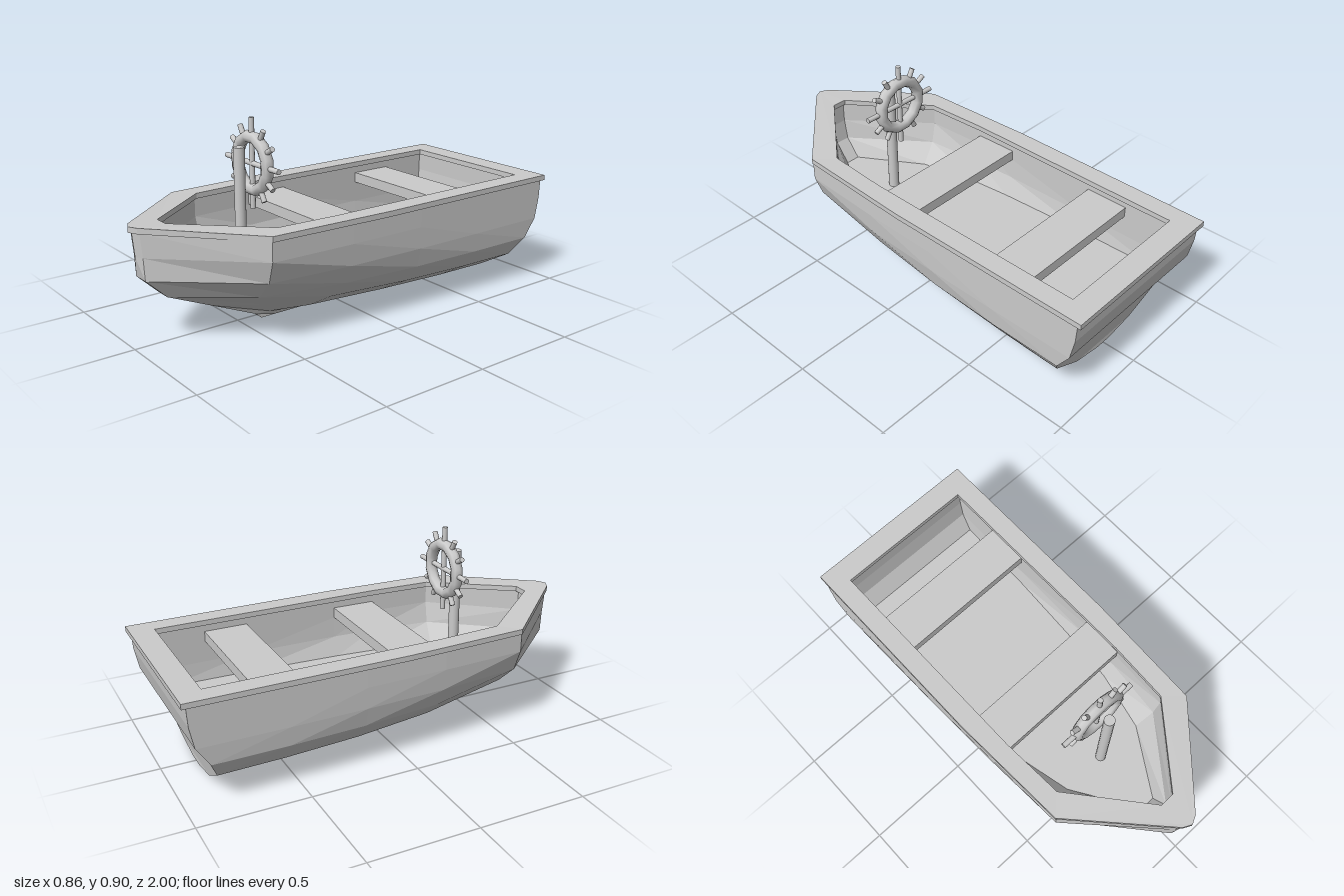
import * as THREE from 'three';

const flat = new THREE.MeshStandardMaterial({ color: 0xcccccc, flatShading: true });
const smooth = new THREE.MeshStandardMaterial({ color: 0xcccccc });

function addMesh(parent, name, geometry, material, x = 0, y = 0, z = 0) {
  const mesh = new THREE.Mesh(geometry, material);
  mesh.name = name;
  mesh.position.set(x, y, z);
  parent.add(mesh);
  return mesh;
}

// Closed outline from one half (stern to bow); points on the centreline are not doubled
const mirror = half => [...half, ...half.filter(p => p[0] > 0).reverse().map(([x, z]) => [-x, z])];

// The sheer rises slightly from the shoulders to the bow
const sheer = z => 0.02 * THREE.MathUtils.clamp((z - 0.58) / 0.4, 0, 1);

// Skin stacked outlines from bottom to top, closing the bottom one
function loft(levels, inward = false) {
  const positions = [], index = [];
  const n = mirror(levels[0].half).length, m = (n - 1) / 2;
  const face = (a, b, c) => index.push(...(inward ? [a, c, b] : [a, b, c]));
  levels.forEach(({ y, half }, i) => {
    const top = i === levels.length - 1;
    for (const [x, z] of mirror(half)) positions.push(x, y + (top ? sheer(z) : 0), z);
  });
  for (let i = 0; i < levels.length - 1; i++) {
    for (let j = 0; j < n; j++) {
      const a = i * n + j, b = i * n + (j + 1) % n;
      // Diagonals mirror each other on the two sides
      if (j < m) {
        face(a, a + n, b + n);
        face(a, b + n, b);
      } else {
        face(a, a + n, b);
        face(b, a + n, b + n);
      }
    }
  }
  // Bottom closed in strips running across the boat
  for (let j = 0; j < m; j++) {
    const a = j, b = j + 1, c = n - 1 - j, d = n - 2 - j;
    face(a, b, c);
    if (b !== d) face(b, d, c);
  }
  const geometry = new THREE.BufferGeometry();
  geometry.setAttribute('position', new THREE.Float32BufferAttribute(positions, 3));
  geometry.setIndex(index);
  geometry.computeVertexNormals();
  return geometry;
}

// Flat plank ring following the sheer
function rimGeometry(outer, inner) {
  const toPoints = half => mirror(half).reverse().map(([x, z]) => new THREE.Vector2(x, -z));
  const shape = new THREE.Shape(toPoints(outer));
  shape.holes.push(new THREE.Path(toPoints(inner)));
  const geometry = new THREE.ExtrudeGeometry(shape, { depth: 0.025, bevelEnabled: false });
  geometry.rotateX(-Math.PI / 2);
  const p = geometry.attributes.position;
  for (let i = 0; i < p.count; i++) p.setY(i, p.getY(i) + sheer(p.getZ(i)));
  geometry.computeVertexNormals();
  return geometry;
}

export function createModel() {
  const boat = new THREE.Group();
  boat.name = 'boat';

  // Outer hull: [y, half widths at five stations, stern z, shoulder z, bow z]
  const hullLevels = [
    [0.00, [0.04, 0.04, 0.04, 0.04, 0.04], -0.84, 0.32, 0.40],
    [0.025, [0.19, 0.18, 0.15, 0.10, 0.05], -0.84, 0.36, 0.43],
    [0.12, [0.355, 0.347, 0.322, 0.265, 0.165], -0.855, 0.46, 0.65],
    [0.21, [0.415, 0.411, 0.397, 0.36, 0.275], -0.895, 0.56, 0.86],
    [0.30, [0.42, 0.42, 0.417, 0.405, 0.365], -0.955, 0.575, 0.955],
    [0.40, [0.42, 0.42, 0.42, 0.415, 0.40], -0.975, 0.58, 0.975],
    [0.488, [0.42, 0.42, 0.42, 0.415, 0.40], -0.98, 0.58, 0.985],
  ].map(([y, w, stern, shoulder, bow]) => ({
    y,
    half: [
      [w[0], stern], [w[1], -0.55], [w[2], -0.2], [w[3], 0.18], [w[4], shoulder],
      [0.04, bow - (y > 0.35 ? 0.015 : 0)], [0, bow],
    ],
  }));
  addMesh(boat, 'hull', loft(hullLevels), flat);

  // Inside walls and floor, running a little way under the rim
  const inside = [
    { y: 0.21, half: [[0.345, -0.84], [0.335, -0.45], [0.31, 0], [0.29, 0.2], [0.225, 0.48], [0.035, 0.78], [0, 0.78]] },
    { y: 0.30, half: [[0.35, -0.89], [0.35, -0.45], [0.345, 0], [0.335, 0.2], [0.305, 0.5], [0.035, 0.85], [0, 0.85]] },
    { y: 0.40, half: [[0.35, -0.9], [0.35, -0.45], [0.35, 0], [0.345, 0.2], [0.33, 0.505], [0.035, 0.865], [0, 0.865]] },
    { y: 0.488, half: [[0.35, -0.9], [0.35, -0.45], [0.35, 0], [0.345, 0.2], [0.33, 0.505], [0.035, 0.865], [0, 0.865]] },
  ];
  addMesh(boat, 'interior', loft(inside, true), flat);

  // Gunwale around the top
  const rimOutline = [[0.428, -1], [0.428, 0], [0.405, 0.58], [0.04, 0.98], [0, 1]];
  const opening = [[0.335, -0.89], [0.335, 0.2], [0.32, 0.5], [0.035, 0.85]];
  addMesh(boat, 'rim', rimGeometry(rimOutline, opening), flat, 0, 0.486, 0);

  // Bench seats
  for (const z of [-0.555, 0.102]) {
    addMesh(boat, 'seat', new THREE.BoxGeometry(0.7, 0.05, 0.205), flat, 0, 0.425, z);
  }

  // Steering post and wheel
  addMesh(boat, 'steeringPost', new THREE.CylinderGeometry(0.025, 0.025, 0.57, 16), smooth, 0, 0.495, 0.47);

  const wheel = new THREE.Group();
  wheel.name = 'steeringWheel';
  wheel.position.set(0, 0.7, 0.405);
  boat.add(wheel);
  addMesh(wheel, 'wheelRing', new THREE.TorusGeometry(0.117, 0.028, 8, 12).rotateZ(Math.PI / 12), smooth);
  for (let i = 0; i < 2; i++) {
    addMesh(wheel, 'spoke', new THREE.CylinderGeometry(0.012, 0.012, 0.4, 12), smooth).rotation.z = i * Math.PI / 2;
  }
  for (let i = 0; i < 12; i++) {
    if (i % 3 === 0) continue;
    const handle = new THREE.CylinderGeometry(0.012, 0.012, 0.07, 12).translate(0, 0.143, 0);
    addMesh(wheel, 'handle', handle, smooth).rotation.z = i * Math.PI / 6;
  }
  return boat;
}
